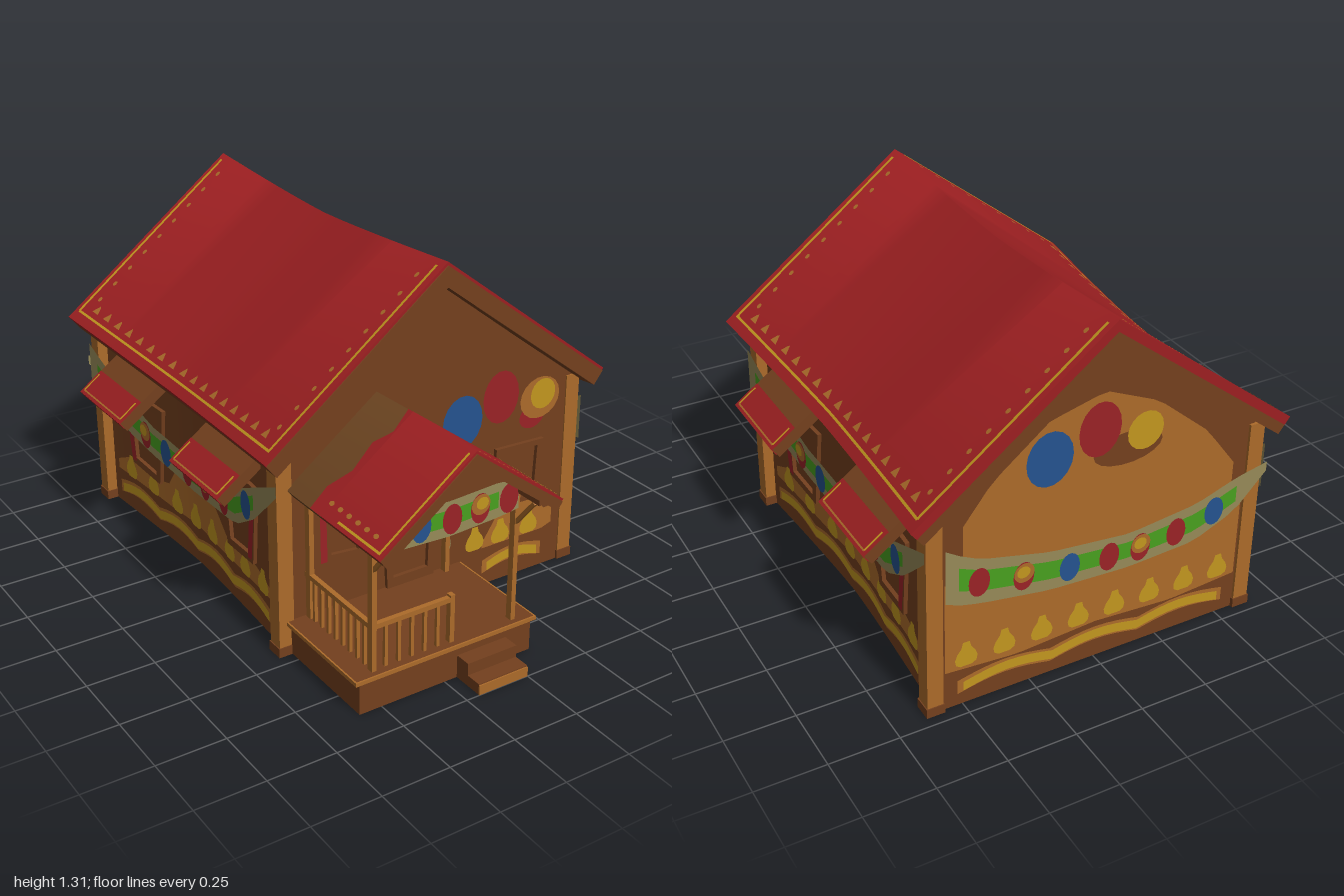
import * as THREE from 'three';
import { toCreasedNormals } from 'three/addons/utils/BufferGeometryUtils.js';

const mat = (name, color) => new THREE.MeshStandardMaterial({ name, color, side: THREE.DoubleSide });
const M = {
  wood: mat('brown wood', 0x74401e), ochre: mat('ochre wood', 0xac6b2a), red: mat('red', 0x9a2226),
  yellow: mat('yellow', 0xc2961f), green: mat('green', 0x48a01f), khaki: mat('pale khaki', 0x968a58),
  blue: mat('blue', 0x25538f), dull: mat('weathered wood', 0x6a4320), roof: mat('roof red', 0x9c1f21),
};

// The house narrows and sags towards the middle of its length
const sag = z => 1 - Math.min(1, Math.abs(z) / 0.75) ** 1.35;
const bend = (x, y, z) => [x * (1 - 0.07 * sag(z)), y - 0.04 * sag(z), z];
const wallX = z => 0.6 * (1 - 0.07 * sag(z));

// Surfaces: (u, v, distance out) to a point
const front = (u, v, d) => [u, v, 0.7 + d];
const back = (u, v, d) => [u, v, -0.7 - d];
const side = (u, v, d) => [wallX(u) + d, v, u];
const mainSlope = sx => (s, z, d) => bend(sx * (0.7 * s + 0.61 * d), 1.31 - 0.54 * s + 0.79 * d, z);
const porchSlope = sx => (s, z, d) => [-0.24 + sx * (0.355 * s + 0.6 * d), 0.9 - 0.268 * s + 0.8 * d, z];
const swap = f => (u, v, d) => f(v, u, d);

function mapGeo(geo, fn) {
  const p = geo.attributes.position;
  for (let i = 0; i < p.count; i++) p.setXYZ(i, ...fn(p.getX(i), p.getY(i), p.getZ(i)));
  geo.computeVertexNormals();
  return geo;
}
function add(parent, name, geo, material) {
  const m = new THREE.Mesh(geo, material);
  m.name = name;
  parent.add(m);
  return m;
}
function box(parent, name, material, w, h, d, x, y, z) {
  const m = add(parent, name, new THREE.BoxGeometry(w, h, d), material);
  m.position.set(x, y, z);
  return m;
}
function beam(parent, name, material, a, b, t) {
  const A = new THREE.Vector3(...a), B = new THREE.Vector3(...b);
  const m = box(parent, name, material, t, t, A.distanceTo(B), 0, 0, 0);
  m.position.copy(A).add(B).multiplyScalar(0.5);
  m.lookAt(B);
}
const shape = pts => new THREE.Shape(pts.map(p => new THREE.Vector2(...p)));

// Flat painted outline on a surface; wall paint also shows on the inner face
function paint(parent, name, surf, pts, material, d, inside = false) {
  for (const k of inside ? [d, -d] : [d])
    add(parent, name, mapGeo(new THREE.ShapeGeometry(shape(pts)), (u, v) => surf(u, v, k)), material);
}
const oval = (u, v, ru, rv) => Array.from({ length: 18 }, (_, i) => {
  const a = i * Math.PI / 9;
  return [u + ru * Math.cos(a), v + rv * Math.sin(a)];
});
const pearHalf = [[0.022, 0], [0.037, 0.01], [0.041, 0.03], [0.033, 0.052], [0.018, 0.072], [0.012, 0.095]];
const pear = (u, v) => [...pearHalf, ...pearHalf.map(([a, b]) => [-a, b]).reverse()].map(([a, b]) => [u + a, v + b]);

// Painted strip from rows of [u, low, high]
function rowAt(rows, u) {
  let i = 0;
  while (i < rows.length - 2 && u > rows[i + 1][0]) i++;
  const [a, b] = [rows[i], rows[i + 1]], t = (u - a[0]) / (b[0] - a[0]);
  return [a[1] + (b[1] - a[1]) * t, a[2] + (b[2] - a[2]) * t];
}
function strip(parent, name, surf, rows, material, d, inside = false) {
  const u0 = rows[0][0], u1 = rows[rows.length - 1][0];
  for (const k of inside ? [d, -d] : [d])
    add(parent, name, mapGeo(new THREE.PlaneGeometry(1, 1, 24, 1), (x, y) => {
      const u = u0 + (u1 - u0) * (x + 0.5);
      return surf(u, rowAt(rows, u)[y > 0 ? 1 : 0], k);
    }), material);
}

// Pale band with green leaves and coloured fruit
function garland(parent, surf, rows, fruit, d) {
  strip(parent, 'garlandBand', surf, rows, M.khaki, d);
  const inner = rows.map(([u, a, b]) => [u, a + (b - a) * 0.3, a + (b - a) * 0.76]).slice(1, -1);
  strip(parent, 'garlandLeaves', surf, inner, M.green, d + 0.003);
  for (const [u, c] of fruit) {
    const [a, b] = rowAt(rows, u), v = (a + b) / 2;
    paint(parent, 'garlandFruit', surf, oval(u, v, 0.038, 0.054), c === 'ochre' ? M.red : M[c], d + 0.006);
    if (c === 'ochre') {
      paint(parent, 'garlandFruitTop', surf, oval(u, v + 0.015, 0.037, 0.037), M.ochre, d + 0.009);
      paint(parent, 'garlandFruitShine', surf, oval(u + 0.004, v + 0.02, 0.024, 0.022), M.yellow, d + 0.012);
    }
  }
}
function squiggle(parent, surf, u0, u1, waves) {
  const rows = (h, e) => Array.from({ length: 25 }, (_, i) => {
    const t = i / 24, v = 0.075 + 0.025 * Math.abs(Math.sin(Math.PI * waves * t));
    return [u0 + e + (u1 - u0 - 2 * e) * t, v - h, v + h];
  });
  strip(parent, 'wavyBorder', surf, rows(0.027, 0), M.ochre, 0.004, true);
  strip(parent, 'wavyBorderCentre', surf, rows(0.018, 0.02), M.yellow, 0.007, true);
}
function balloons(parent, surf, list) {
  for (const [u, v, ru, rv, c, d] of list) paint(parent, 'balloon', surf, oval(u, v, ru, rv), M[c], d, true);
}
// Raised frame around a four-cornered opening
function frame(parent, name, surf, quad) {
  const cx = quad.reduce((s, p) => s + p[0], 0) / 4, cy = quad.reduce((s, p) => s + p[1], 0) / 4;
  const s = shape(quad);
  s.holes.push(new THREE.Path(quad.map(([u, v]) => new THREE.Vector2(cx + (u - cx) * 0.74, cy + (v - cy) * 0.82))));
  const geo = new THREE.ExtrudeGeometry(s, { depth: 0.03, bevelEnabled: false });
  add(parent, name, mapGeo(geo, (u, v, z) => surf(u, v, z - 0.015)), M.wood);
}
// Gable roof layer between two depths below the top face, rounded over the ridge
function chevron(apex, half, eave, t0, t1, z0, z1, fn) {
  const L = Math.hypot(half, apex - eave), nx = (apex - eave) / L, ny = half / L;
  const line = t => [[-half + nx * t, eave - ny * t], [0, apex - t / ny], [half - nx * t, eave - ny * t]];
  const geo = new THREE.ExtrudeGeometry(shape([...line(t0), ...line(t1).reverse()]),
    { depth: z1 - z0, steps: z1 - z0 > 1 ? 14 : 1, bevelEnabled: false });
  return toCreasedNormals(mapGeo(geo, (x, y, z) => fn(x, y, z + z0)), 1.35);
}

function buildSide() {
  const g = new THREE.Group();
  g.name = 'sideWall';
  strip(g, 'wall', side, [[-0.7, 0, 0.76], [-0.35, 0, 0.735], [0, 0, 0.72], [0.35, 0, 0.735], [0.7, 0, 0.76]], M.wood, 0);
  for (const s of [1, -1]) {
    frame(g, 'sideWindowFrame', side, [[0.5, 0.54], [0.22, 0.54], [0.265, 0.22], [0.47, 0.235]].map(([u, v]) => [u * s, v]));
    paint(g, 'curtain', side, [[0.5, 0.5], [0.465, 0.5], [0.435, 0.25], [0.465, 0.25]].map(([u, v]) => [u * s, v]), M.red, 0.018);
    // Sloping awning, red at its outer end
    const a = new THREE.Group();
    a.name = 'awning';
    a.position.set(s > 0 ? 0.659 : 0.642, 0.61, 0.35 * s);
    a.rotation.z = -0.63;
    box(a, 'awningBoard', M.wood, 0.238, 0.042, 0.345, -0.001, 0, 0);
    box(a, 'awningCover', M.roof, 0.11, 0.006, 0.34, 0.065, 0.022, 0);
    box(a, 'awningLip', M.roof, 0.004, 0.03, 0.34, 0.119, 0.008, 0);
    for (const e of [1, -1]) box(a, 'awningTrim', M.yellow, 0.08, 0.003, 0.005, 0.065, 0.026, 0.155 * e);
    box(a, 'awningTrim', M.ochre, 0.006, 0.003, 0.31, 0.106, 0.026, 0);
    g.add(a);
  }
  strip(g, 'ochrePatch', side, [[-0.58, 0.15, 0.19], [-0.45, 0.15, 0.235], [-0.2, 0.15, 0.23], [-0.17, 0.15, 0.31], [0, 0.16, 0.34],
    [0.18, 0.15, 0.31], [0.22, 0.15, 0.23], [0.5, 0.15, 0.24], [0.61, 0.15, 0.19]], M.ochre, 0.004, true);
  for (const u of [0.5, 0.33, 0.15, 0.01, -0.125, -0.265, -0.39, -0.53]) paint(g, 'pear', side, pear(u, 0.15), M.yellow, 0.008, true);
  squiggle(g, side, -0.59, 0.6, 4);
  garland(g, side, [[-0.72, 0.62, 0.66], [-0.55, 0.46, 0.58], [-0.4, 0.37, 0.51], [-0.3, 0.36, 0.48], [-0.05, 0.34, 0.46],
    [0.25, 0.36, 0.48], [0.45, 0.39, 0.54], [0.65, 0.47, 0.63], [0.71, 0.49, 0.66]],
  [[0.545, 'red'], [0.29, 'ochre'], [0.14, 'blue'], [-0.02, 'red'], [-0.165, 'ochre'], [-0.315, 'red'], [-0.495, 'blue']], 0.044);
  return g;
}

function buildHouse() {
  const g = new THREE.Group();
  g.name = 'house';
  const gable = [[-0.597, 0], [0.597, 0], [0.597, 0.76], [0, 1.225], [-0.597, 0.76]];
  paint(g, 'frontWall', front, gable, M.wood, 0);
  paint(g, 'backWall', back, gable, M.wood, 0);
  const left = buildSide();
  const right = buildSide();
  right.rotation.y = Math.PI;
  g.add(left, right);

  // Corner posts
  for (const x of [-0.603, 0.603]) for (const z of [-0.68, 0.675]) {
    box(g, 'cornerPost', M.ochre, 0.058, 0.75, 0.06, x, 0.375, z);
    box(g, 'postFoot', M.wood, 0.066, 0.035, 0.068, x, 0.0175, z);
  }
  // Main roof: red cover, boards beneath, brown front fascia, gold trim
  add(g, 'roofCover', chevron(1.31, 0.7, 0.77, 0, 0.033, -0.75, 0.754, bend), M.roof);
  add(g, 'roofBoards', chevron(1.31, 0.7, 0.77, 0.033, 0.07, -0.75, 0.754, bend), M.wood);
  add(g, 'frontFascia', chevron(1.31, 0.7, 0.77, 0.01, 0.07, 0.754, 0.758, bend), M.wood);
  for (const sx of [1, -1]) {
    const f = mainSlope(sx);
    strip(g, 'eaveTrim', swap(f), [[-0.725, 0.945, 0.956], [0.728, 0.945, 0.956]], M.yellow, 0.003);
    for (const e of [1, -1]) {
      strip(g, 'gableTrim', f, [[0.03, 0.717 * e, 0.729 * e], [0.95, 0.717 * e, 0.729 * e]], M.yellow, 0.003);
      for (let i = 1; i < 10; i++) paint(g, 'roofFleck', f, oval(i / 10.5, 0.675 * e, 0.012, 0.009), M.ochre, 0.003);
    }
    for (let i = 0; i < 17; i++) {
      const z = -0.64 + i * 0.08;
      paint(g, 'roofFleck', f, [[0.92, z - 0.02], [0.92, z + 0.02], [0.89, z + 0.008], [0.88, z]], M.ochre, 0.003);
    }
  }
  // Front wall openings and painting
  frame(g, 'frontWindowFrame', front, [[-0.465, 0.548], [-0.265, 0.535], [-0.305, 0.308], [-0.45, 0.32]]);
  frame(g, 'frontWindowFrame', front, [[0.26, 0.543], [0.473, 0.535], [0.46, 0.3], [0.267, 0.305]]);
  frame(g, 'doorFrame', front, [[-0.225, 0.545], [0.008, 0.545], [-0.005, 0.13], [-0.2, 0.13]]);
  for (const [u, lo, hi] of [[-0.46, 0.32, 0.5], [0.272, 0.34, 0.5], [-0.006, 0.36, 0.545]])
    paint(g, 'curtain', front, [[u - 0.013, lo], [u + 0.013, lo], [u + 0.01, hi], [u - 0.015, hi]], M.red, 0.018);
  balloons(g, front, [[0.115, 0.685, 0.085, 0.1, 'blue', 0.004], [0.28, 0.74, 0.078, 0.1, 'red', 0.004],
    [0.42, 0.63, 0.055, 0.045, 'red', 0.004], [0.452, 0.698, 0.088, 0.08, 'ochre', 0.007], [0.463, 0.712, 0.055, 0.058, 'yellow', 0.01]]);
  strip(g, 'ochrePatch', front, [[0.215, 0.155, 0.175], [0.265, 0.155, 0.25], [0.29, 0.155, 0.3], [0.47, 0.155, 0.3], [0.49, 0.155, 0.24], [0.535, 0.17, 0.24]], M.ochre, 0.004, true);
  for (const u of [0.18, 0.295, 0.425]) paint(g, 'pear', front, pear(u, 0.16), M.yellow, 0.008, true);
  paint(g, 'khakiSpot', front, oval(0.062, 0.22, 0.015, 0.028), M.khaki, 0.004, true);
  paint(g, 'ochreSpot', front, oval(0.23, 0.277, 0.016, 0.014), M.ochre, 0.004, true);
  squiggle(g, front, 0.22, 0.49, 1);

  // Back wall painting
  strip(g, 'gablePatch', back, [[-0.52, 0.5, 0.62], [-0.4, 0.45, 0.78], [-0.2, 0.42, 0.95], [0, 0.42, 1.04], [0.2, 0.42, 0.99], [0.4, 0.45, 0.83], [0.5, 0.5, 0.7]], M.ochre, 0.003);
  strip(g, 'ochrePatch', back, [[-0.565, 0.15, 0.45], [-0.3, 0.13, 0.42], [0, 0.15, 0.42], [0.3, 0.13, 0.45], [0.565, 0.15, 0.5]], M.ochre, 0.004);
  for (let i = 0; i < 8; i++) paint(g, 'pear', back, pear(-0.49 + i * 0.14, 0.16), M.yellow, 0.008, true);
  squiggle(g, back, -0.52, 0.52, 3);
  balloons(g, back, [[-0.09, 0.81, 0.13, 0.06, 'wood', 0.006], [0.2, 0.855, 0.085, 0.1, 'blue', 0.009], [0.02, 0.91, 0.078, 0.1, 'red', 0.009],
    [-0.15, 0.86, 0.068, 0.07, 'yellow', 0.011]]);
  garland(g, back, [[-0.64, 0.565, 0.6], [-0.52, 0.44, 0.575], [-0.36, 0.37, 0.52], [-0.1, 0.355, 0.49], [0.2, 0.37, 0.52], [0.45, 0.41, 0.58], [0.53, 0.43, 0.62], [0.575, 0.45, 0.65]],
    [[-0.43, 'blue'], [-0.28, 'red'], [-0.14, 'ochre'], [-0.02, 'red'], [0.13, 'blue'], [0.3, 'ochre'], [0.46, 'red']], 0.03);
  g.position.z = -0.25;
  return g;
}

function buildPorch() {
  const g = new THREE.Group();
  g.name = 'porch';
  // Deck and steps
  box(g, 'deckBase', M.wood, 0.69, 0.117, 0.425, -0.24, 0.0585, 0.6625);
  box(g, 'deckFloor', M.wood, 0.72, 0.012, 0.43, -0.24, 0.123, 0.665);
  box(g, 'deckEdge', M.ochre, 0.72, 0.014, 0.006, -0.24, 0.123, 0.88);
  for (const x of [-0.6, 0.12]) box(g, 'deckEdge', M.ochre, 0.006, 0.014, 0.43, x, 0.123, 0.668);
  box(g, 'upperStep', M.wood, 0.2, 0.085, 0.07, -0.1, 0.0425, 0.9);
  box(g, 'lowerStep', M.wood, 0.2, 0.04, 0.065, -0.1, 0.02, 0.9625);
  box(g, 'lowerStepFront', M.ochre, 0.2, 0.036, 0.005, -0.1, 0.018, 0.9975);
  // Posts, beams and braces
  for (const x of [-0.518, 0.042]) {
    for (const z of [0.845, 0.47]) box(g, 'porchPost', M.ochre, 0.018, 0.5, 0.026, x, 0.38, z);
    box(g, 'porchBeam', M.wood, 0.025, 0.025, 0.53, x, 0.635, 0.715);
    beam(g, 'porchBrace', M.ochre, [x, 0.5, 0.85], [x, 0.615, 0.945], 0.013);
  }
  // Railings
  beam(g, 'frontRail', M.ochre, [-0.525, 0.293, 0.845], [-0.205, 0.293, 0.845], 0.018);
  beam(g, 'sideRail', M.ochre, [-0.518, 0.293, 0.845], [-0.518, 0.293, 0.45], 0.018);
  box(g, 'railPost', M.ochre, 0.018, 0.18, 0.022, -0.21, 0.22, 0.845);
  for (let i = 1; i <= 5; i++) box(g, 'baluster', M.ochre, 0.012, 0.16, 0.012, -0.518 + i * 0.051, 0.21, 0.845);
  for (let i = 1; i <= 8; i++) box(g, 'baluster', M.ochre, 0.012, 0.16, 0.012, -0.518, 0.21, 0.845 - i * 0.043);
  // Small gable roof, red at the front with a worn edge
  const layer = (name, material, t0, t1, z0, z1) =>
    add(g, name, chevron(0.9, 0.355, 0.632, t0, t1, z0, z1, (x, y, z) => [x - 0.24, y, z]), material);
  layer('porchRoofBoards', M.dull, 0.008, 0.042, 0.45, 0.66);
  layer('porchRoofBoards', M.wood, 0.02, 0.042, 0.66, 0.996);
  layer('porchRoofCover', M.roof, 0, 0.02, 0.66, 0.996);
  layer('porchFascia', M.wood, 0.008, 0.042, 0.996, 1);
  for (const sx of [1, -1]) {
    const f = porchSlope(sx);
    paint(g, 'wornEdge', f, [[0, 0.67], [0, 0.63], [0.2, 0.65], [0.35, 0.61], [0.6, 0.63], [0.8, 0.59], [1, 0.6], [1, 0.67]], M.roof, -0.004);
    strip(g, 'porchTrim', f, [[0.04, 0.976, 0.985], [0.97, 0.976, 0.985]], M.yellow, 0.003);
    strip(g, 'porchEaveTrim', swap(f), [[0.75, 0.95, 0.97], [0.98, 0.95, 0.97]], M.yellow, 0.003);
    for (let i = 0; i < 6; i++) paint(g, 'porchFleck', f, oval(0.88, 0.67 + i * 0.05, 0.02, 0.012), M.ochre, 0.003);
    beam(g, 'bargeBoardTip', M.ochre, [-0.24 + sx * 0.24, 0.676, 0.994], [-0.24 + sx * 0.33, 0.608, 0.994], 0.01);
  }
  const flat = (u, v, d) => [u, v, 0.86 + d];
  paint(g, 'porchGable', flat, [[-0.53, 0.63], [0.05, 0.63], [-0.24, 0.852]], M.wood, 0);
  garland(g, flat, [[-0.525, 0.56, 0.67], [-0.45, 0.555, 0.682], [-0.24, 0.545, 0.672], [-0.05, 0.555, 0.682], [0.035, 0.565, 0.67]],
    [[-0.47, 'ochre'], [-0.355, 'blue'], [-0.235, 'red'], [-0.125, 'ochre'], [-0.01, 'red']], 0.01);
  return g;
}

export function createModel() {
  const model = new THREE.Group();
  model.name = 'cottage';
  model.add(buildHouse(), buildPorch());
  return model;
}
